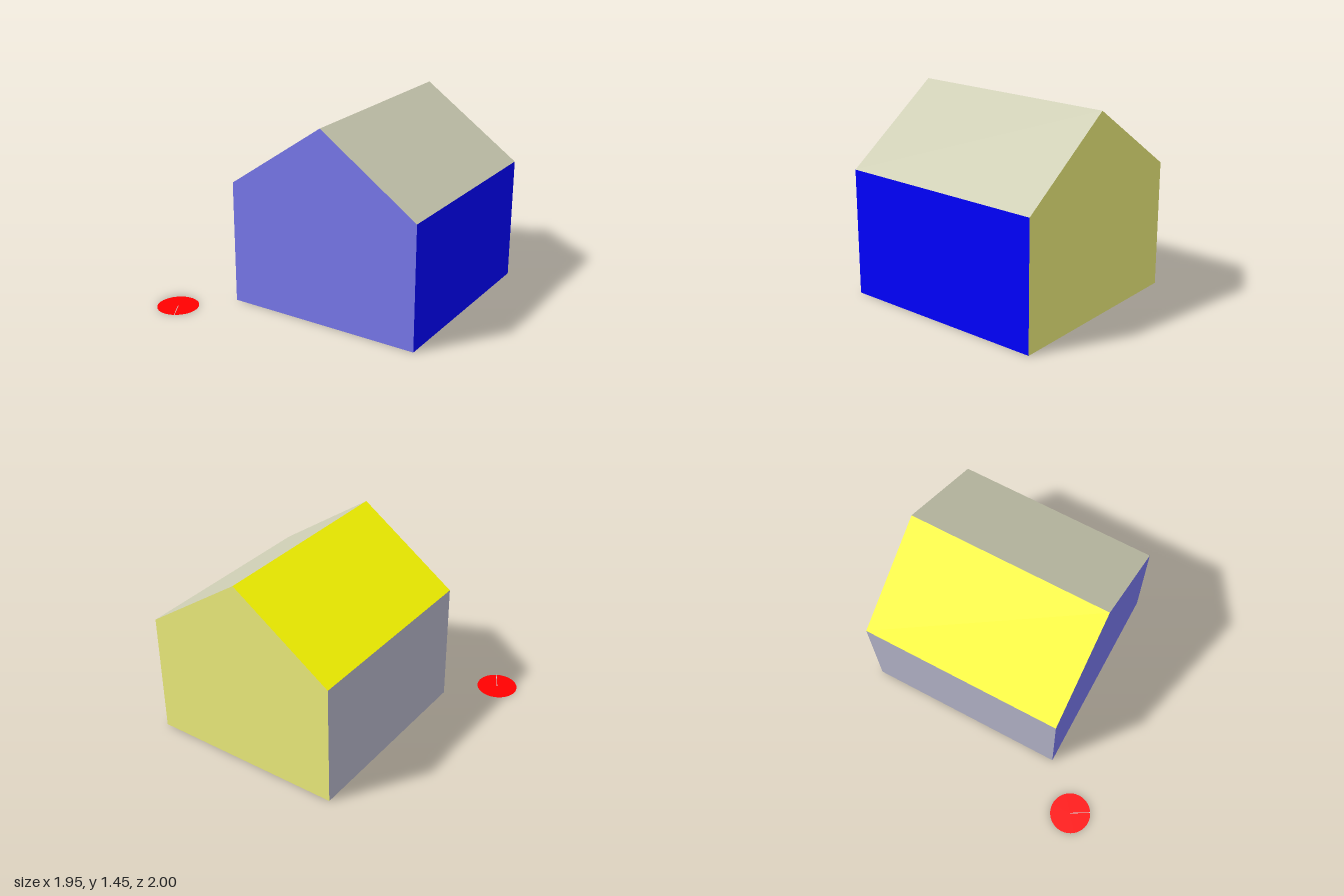
import * as THREE from 'three';

const LEFT = -0.52, RIGHT = 0.975, RIDGE_X = 0.228;
const EAVE = 0.925, RIDGE = 1.445, BACK = -1, FRONT = 0.535;

function material(color) {
  return new THREE.MeshStandardMaterial({ color, side: THREE.DoubleSide });
}

function addMesh(parent, name, geometry, color) {
  const mesh = new THREE.Mesh(geometry, material(color));
  mesh.name = name;
  parent.add(mesh);
  return mesh;
}

// Flat panel running front to back, from profile point a to profile point b
function panel(a, b) {
  const geometry = new THREE.BufferGeometry();
  geometry.setAttribute('position', new THREE.Float32BufferAttribute([
    ...a, FRONT, ...a, BACK, ...b, BACK, ...b, FRONT,
  ], 3));
  geometry.setIndex([0, 1, 2, 0, 2, 3]);
  geometry.computeVertexNormals();
  return geometry;
}

export function createModel() {
  const model = new THREE.Group();
  model.name = 'houseAndDisc';

  // House shell: thin walls and roof, open underneath
  const house = new THREE.Group();
  house.name = 'house';
  model.add(house);

  // House outline, counter-clockwise seen from the front
  const outline = [[LEFT, 0], [RIGHT, 0], [RIGHT, EAVE], [RIDGE_X, RIDGE], [LEFT, EAVE]];
  const gable = new THREE.Shape(outline.map(([x, y]) => new THREE.Vector2(x, y)));

  addMesh(house, 'frontWall', new THREE.ShapeGeometry(gable), 0x7878eb).position.z = FRONT;

  // Back gable, mirrored so it faces backwards
  const backShape = new THREE.Shape(outline.map(([x, y]) => new THREE.Vector2(-x, y)).reverse());
  const back = addMesh(house, 'backWall', new THREE.ShapeGeometry(backShape), 0xebeb7b);
  back.rotation.y = Math.PI;
  back.position.z = BACK;

  // Side walls and roof slopes
  ['plusXWall', 'plusXRoof', 'minusXRoof', 'minusXWall'].forEach((name, i) => {
    const color = [0x0000ff, 0xceceb4, 0xffff00, 0xb5b5c9][i];
    addMesh(house, name, panel(outline[i + 1], outline[(i + 2) % 5]), color);
  });

  // Flat disc on the ground
  const disc = new THREE.Group();
  disc.name = 'groundDisc';
  disc.position.set(-0.822, 0, 0.847);
  model.add(disc);
  const radius = 0.153;
  addMesh(disc, 'discFace', new THREE.CircleGeometry(radius, 64).rotateX(-Math.PI / 2), 0xff0000);

  // Thin radial mark on the disc
  const mark = new THREE.PlaneGeometry(radius, 0.005).translate(radius / 2, 0, 0);
  mark.rotateX(-Math.PI / 2).rotateY(-Math.PI / 3);
  addMesh(disc, 'radialMark', mark, 0xcccccc).position.y = 0.001;

  return model;
}
